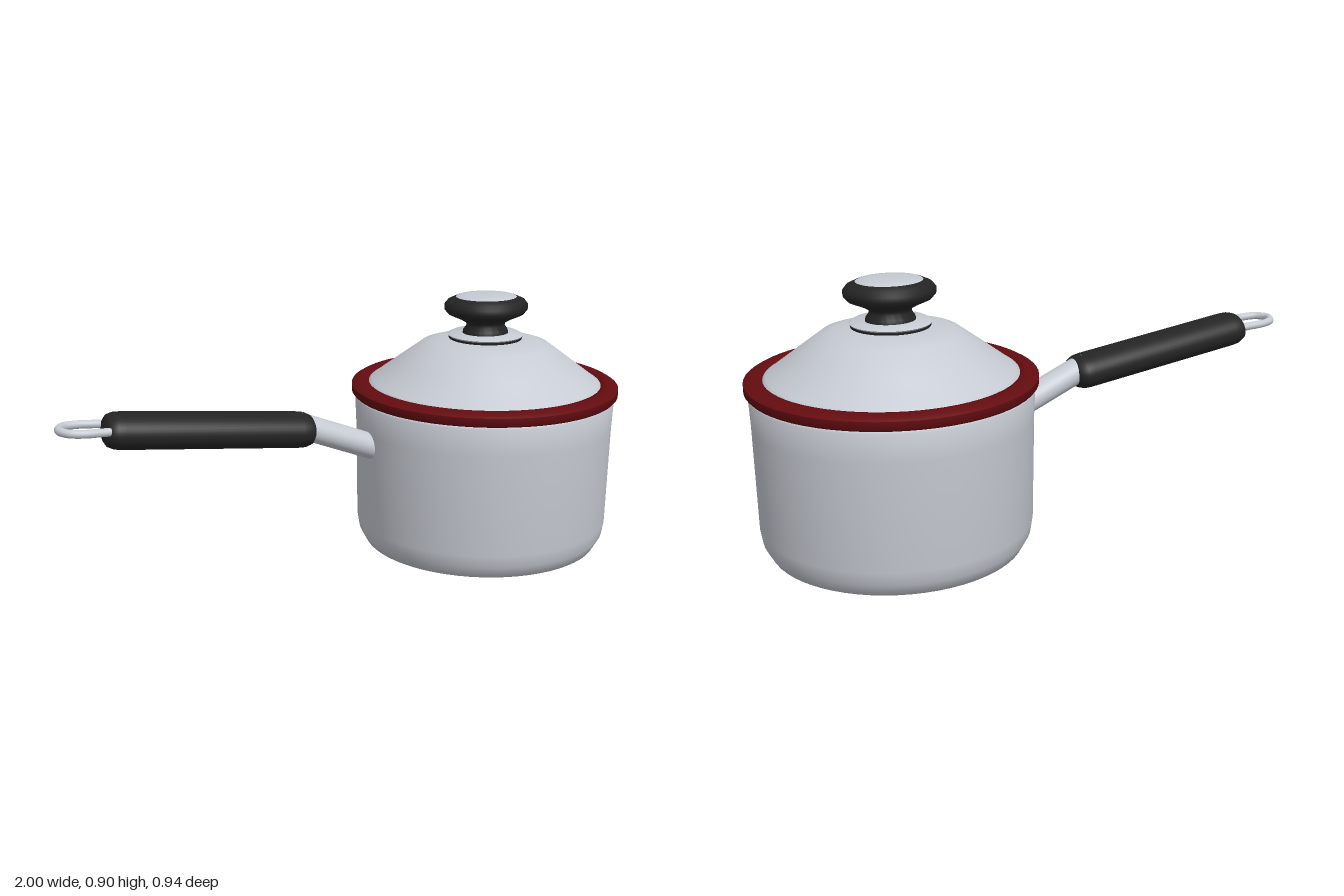
import * as THREE from 'three';
import { toCreasedNormals } from 'three/addons/utils/BufferGeometryUtils.js';

const mat = (name, color) => new THREE.MeshStandardMaterial({ name, color });

export function createModel() {
  const steel = mat('brushed steel', 0xc6cad2);
  const red = mat('dark red', 0x640c10);
  const black = mat('black plastic', 0x242424);

  const model = new THREE.Group();
  model.name = 'saucepan';

  const add = (parent, name, geometry, material) => {
    const mesh = new THREE.Mesh(geometry, material);
    mesh.name = name;
    parent.add(mesh);
    return mesh;
  };
  // Turned shape from [radius, height] pairs, running up the outside
  const turned = (profile, crease = 0.8, segments = 64) =>
    toCreasedNormals(
      new THREE.LatheGeometry(profile.map(([r, y]) => new THREE.Vector2(r, y)), segments), crease);

  // Pot and lid share one vertical axis
  const pot = new THREE.Group();
  pot.name = 'pot';
  pot.position.x = 0.527;
  model.add(pot);

  add(pot, 'potBody', turned([
    [0, 0], [0.34, 0.002], [0.42, 0.013], [0.443, 0.055], [0.45, 0.1],
    [0.455, 0.45], [0.459, 0.545], [0.455, 0.553], [0.41, 0.56]
  ], 1.0), steel);

  add(pot, 'rim', turned([
    [0.405, 0.557], [0.464, 0.555], [0.471, 0.563], [0.471, 0.587],
    [0.457, 0.595], [0.43, 0.6], [0.412, 0.597], [0.405, 0.585], [0.405, 0.557]
  ], 0.9), red);

  add(pot, 'lid', turned([
    [0.412, 0.585], [0.41, 0.594], [0.4, 0.6], [0.31, 0.667], [0.225, 0.73],
    [0.185, 0.742], [0.13, 0.75], [0, 0.752]
  ], 1.0), steel);

  // Knob with its washers
  add(pot, 'knobGasket', turned([[0.128, 0.748], [0.13, 0.757], [0, 0.757]]), black);
  add(pot, 'knobPlate', turned([
    [0, 0.757], [0.128, 0.758], [0.133, 0.763], [0.122, 0.769], [0, 0.77]
  ]), steel);
  const knob = new THREE.Group();
  knob.name = 'knob';
  knob.scale.x = 1.11;
  pot.add(knob);
  add(knob, 'knobGrip', turned([
    [0.074, 0.768], [0.072, 0.78], [0.062, 0.795], [0.063, 0.806], [0.085, 0.82],
    [0.122, 0.838], [0.134, 0.853], [0.135, 0.87], [0.124, 0.885], [0.1, 0.897], [0, 0.899]
  ], 1.0), black);
  add(knob, 'knobCap', turned([[0.098, 0.897], [0.092, 0.9], [0.06, 0.904], [0, 0.905]], 1.0), steel);

  // Turned bar laid from one point to another, flattened to an oval section
  const bar = (name, from, to, profile, height, width, material) => {
    const a = new THREE.Vector3(...from), dir = new THREE.Vector3(...to).sub(a);
    const length = dir.length();
    const mesh = add(handle, name,
      turned(profile.map(([r, end, inset]) => [r, end * length + inset]), 1.0, 40), material);
    mesh.position.copy(a);
    mesh.rotation.z = Math.atan2(dir.y, dir.x) - Math.PI / 2;
    mesh.scale.set(height, 1, width);
  };
  const handle = new THREE.Group();
  handle.name = 'handle';
  model.add(handle);

  bar('handleNeck', [-0.19, 0.515, 0], [0.1, 0.398, 0],
    [[0, 0, 0], [1, 0, 0], [1, 1, 0], [0, 1, 0]], 0.044, 0.05, steel);

  bar('handleGrip', [-0.848, 0.575, 0], [-0.138, 0.492, 0], [
    [0, 0, 0], [0.62, 0, 0.003], [0.85, 0, 0.013], [0.97, 0, 0.032], [1, 0, 0.055],
    [1, 1, -0.055], [0.97, 1, -0.032], [0.85, 1, -0.013], [0.62, 1, -0.003], [0, 1, 0]
  ], 0.06, 0.08, black);

  // Hanging loop: a bent wire with both ends set in the grip
  const half = [[-0.8, 0.05], [-0.86, 0.053], [-0.92, 0.057], [-0.965, 0.042]];
  const point = ([x, z]) => new THREE.Vector3(x, 0.588 - (x + 0.92) * 0.06, z);
  const path = new THREE.CatmullRomCurve3([
    ...half.map(point), point([-0.986, 0]),
    ...half.map(([x, z]) => point([x, -z])).reverse()
  ]);
  add(handle, 'hangingLoop', new THREE.TubeGeometry(path, 48, 0.014, 12), steel);

  return model;
}
